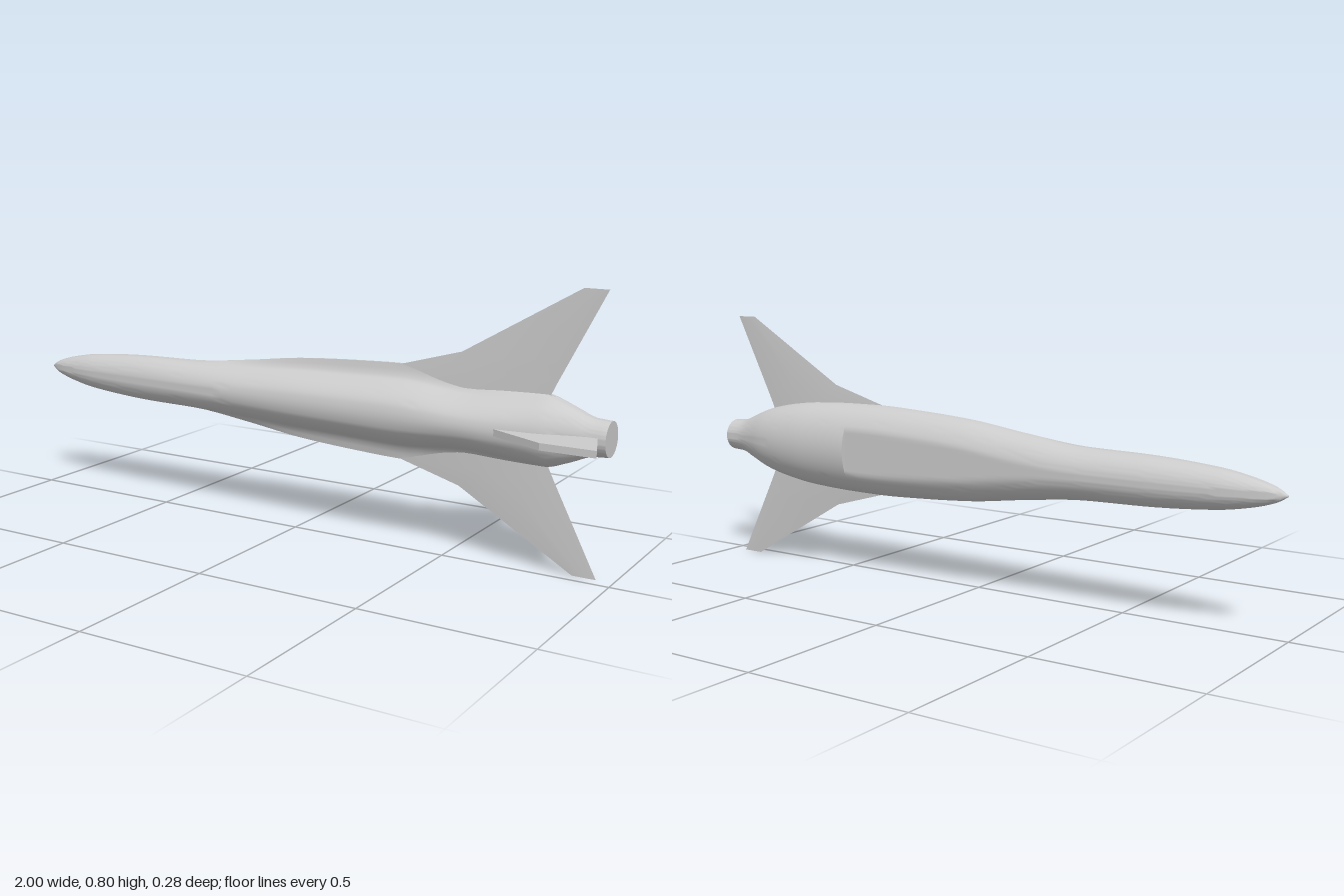
import * as THREE from 'three';
import { toCreasedNormals } from 'three/addons/utils/BufferGeometryUtils.js';

const MID_Y = 0.4, MID_Z = -0.036;

// Hull stations: x, half span, height above wing plane, depth below it, ridge shaping 0..1
const STATIONS = [
  [-1, 0.002, 0.002, 0.002, 0], [-0.97, 0.02, 0.019, 0.02, 0], [-0.9, 0.041, 0.037, 0.04, 0],
  [-0.8, 0.058, 0.053, 0.057, 0], [-0.6, 0.072, 0.065, 0.073, 0], [-0.4, 0.077, 0.073, 0.079, 0.12],
  [-0.2, 0.098, 0.08, 0.085, 0.6], [0, 0.124, 0.087, 0.094, 0.9], [0.2, 0.137, 0.093, 0.101, 1],
  [0.34, 0.142, 0.097, 0.105, 1], [0.46, 0.141, 0.1, 0.107, 0.9], [0.6, 0.135, 0.102, 0.105, 0.6],
  [0.7, 0.123, 0.097, 0.098, 0.4], [0.8, 0.102, 0.085, 0.083, 0.2], [0.87, 0.076, 0.062, 0.063, 0],
  [0.93, 0.053, 0.049, 0.05, 0], [0.975, 0.05, 0.05, 0.05, 0],
];

// Smooth interpolation of one station column, without overshoot
function sample(x, col) {
  const S = STATIONS, n = S.length;
  const slope = (i) => (S[i + 1][col] - S[i][col]) / (S[i + 1][0] - S[i][0]);
  const tangent = (i) => {
    if (i === 0) return slope(0);
    if (i === n - 1) return slope(n - 2);
    const a = slope(i - 1), b = slope(i);
    return a * b <= 0 ? 0 : (2 * a * b) / (a + b);
  };
  let i = 0;
  while (i < n - 2 && x > S[i + 1][0]) i++;
  const h = S[i + 1][0] - S[i][0], t = (x - S[i][0]) / h, u = 1 - t;
  return S[i][col] * (1 + 2 * t) * u * u + tangent(i) * h * t * u * u
    + S[i + 1][col] * t * t * (3 - 2 * t) - tangent(i + 1) * h * t * t * u;
}

// Upper cross-section of the ridge that flares into the thin strakes
const ridge = new THREE.CatmullRomCurve3(
  [[1, 0], [0.73, 0.1], [0.63, 0.32], [0.53, 0.55], [0.41, 0.76], [0.25, 0.93], [0, 1]]
    .map(([y, z]) => new THREE.Vector3(0, y, z)));

function hullRing(x, flatBelly) {
  const [w, up, down, k] = [1, 2, 3, 4].map((c) => sample(x, c));
  const limit = flatBelly ? 0.0855 + 0.0165 * x : 1;
  // Above the wings the hull is narrower than the belly
  const upW = Math.min(w, 0.142 - 0.04 * THREE.MathUtils.smoothstep(x, 0.34, 0.6));
  const pts = [], N = 36, H = 14;
  for (let i = 0; i <= N; i++) {
    const a = (i / N) * Math.PI;
    pts.push([x, w * Math.cos(a), -Math.min(down * Math.sin(a), limit)]);
  }
  const upper = (t, side) => {
    const p = ridge.getPoint(t), a = (t * Math.PI) / 2;
    pts.push([x, side * upW * THREE.MathUtils.lerp(Math.cos(a), p.y, k),
      up * THREE.MathUtils.lerp(Math.sin(a), p.z, k)]);
  };
  for (let i = 0; i < H; i++) upper(i / H, -1);
  for (let i = H; i >= 0; i--) upper(i / H, 1);
  return pts;
}

// Skin joining closed rings, with fans over both ends
function loft(rings) {
  const n = rings[0].length, pos = rings.flat(2), idx = [];
  for (let i = 0; i < rings.length - 1; i++) {
    for (let j = 0; j < n; j++) {
      const a = i * n + j, b = i * n + ((j + 1) % n);
      idx.push(a, a + n, b, b, a + n, b + n);
    }
  }
  [[0, 1], [rings.length - 1, -1]].forEach(([r, dir]) => {
    const c = pos.length / 3;
    for (let k = 0; k < 3; k++) pos.push(rings[r].reduce((s, p) => s + p[k], 0) / n);
    for (let j = 0; j < n; j++) {
      const a = r * n + j, b = r * n + ((j + 1) % n);
      if (dir > 0) idx.push(c, a, b); else idx.push(c, b, a);
    }
  });
  const g = new THREE.BufferGeometry();
  g.setAttribute('position', new THREE.Float32BufferAttribute(pos, 3));
  g.setIndex(idx);
  return g;
}

export function createModel() {
  const model = new THREE.Group();
  model.name = 'spaceplane';
  const mat = new THREE.MeshStandardMaterial({ color: 0xcccccc });
  const add = (name, geometry) => {
    const mesh = new THREE.Mesh(geometry, mat);
    mesh.name = name;
    mesh.position.set(0, MID_Y, MID_Z);
    model.add(mesh);
    return mesh;
  };

  // Fuselage: flat intake ramp under the belly ends in a step at STEP
  const STEP = 0.42, rings = [];
  for (let i = 0; i <= 44; i++) {
    const t = i / 44;
    rings.push(hullRing(-1 + (STEP + 1) * Math.pow(t, 1.4), true));
  }
  for (let i = 0; i <= 24; i++) {
    rings.push(hullRing(THREE.MathUtils.lerp(STEP + 0.0005, 0.975, i / 24), false));
  }
  add('fuselage', toCreasedNormals(loft(rings), 0.6));

  // Wings: thin diamond sections as span, leading x, trailing x, half thickness
  const sections = [[0.05, 0.14, 0.775, 0.009], [0.14, 0.335, 0.818, 0.0065],
    [0.195, 0.53, 0.846, 0.0045], [0.4, 0.88, 0.95, 0.001]];
  const wingRings = sections.map(([y, le, te, h]) => {
    const mid = THREE.MathUtils.lerp(le, te, 0.55);
    return [[le, y, 0], [mid, y, -h], [te, y, 0], [mid, y, h]];
  });
  ['leftWing', 'rightWing'].forEach((name, i) => {
    const wing = add(i ? 'lowerWing' : 'upperWing', toCreasedNormals(loft(wingRings), 0.3));
    wing.name = name;
    wing.rotation.x = i * Math.PI;
  });

  // Tail fin: swept slab standing on the ridge
  const outline = [[0.665, 0.093], [0.84, 0.176], [0.997, 0.176], [0.952, 0.045], [0.8, 0.045]];
  const fin = new THREE.ExtrudeGeometry(
    new THREE.Shape(outline.map(([x, z]) => new THREE.Vector2(x, z))),
    { depth: 0.02, bevelEnabled: false });
  fin.translate(0, 0, -0.01).rotateX(Math.PI / 2);
  add('tailFin', fin);

  return model;
}
